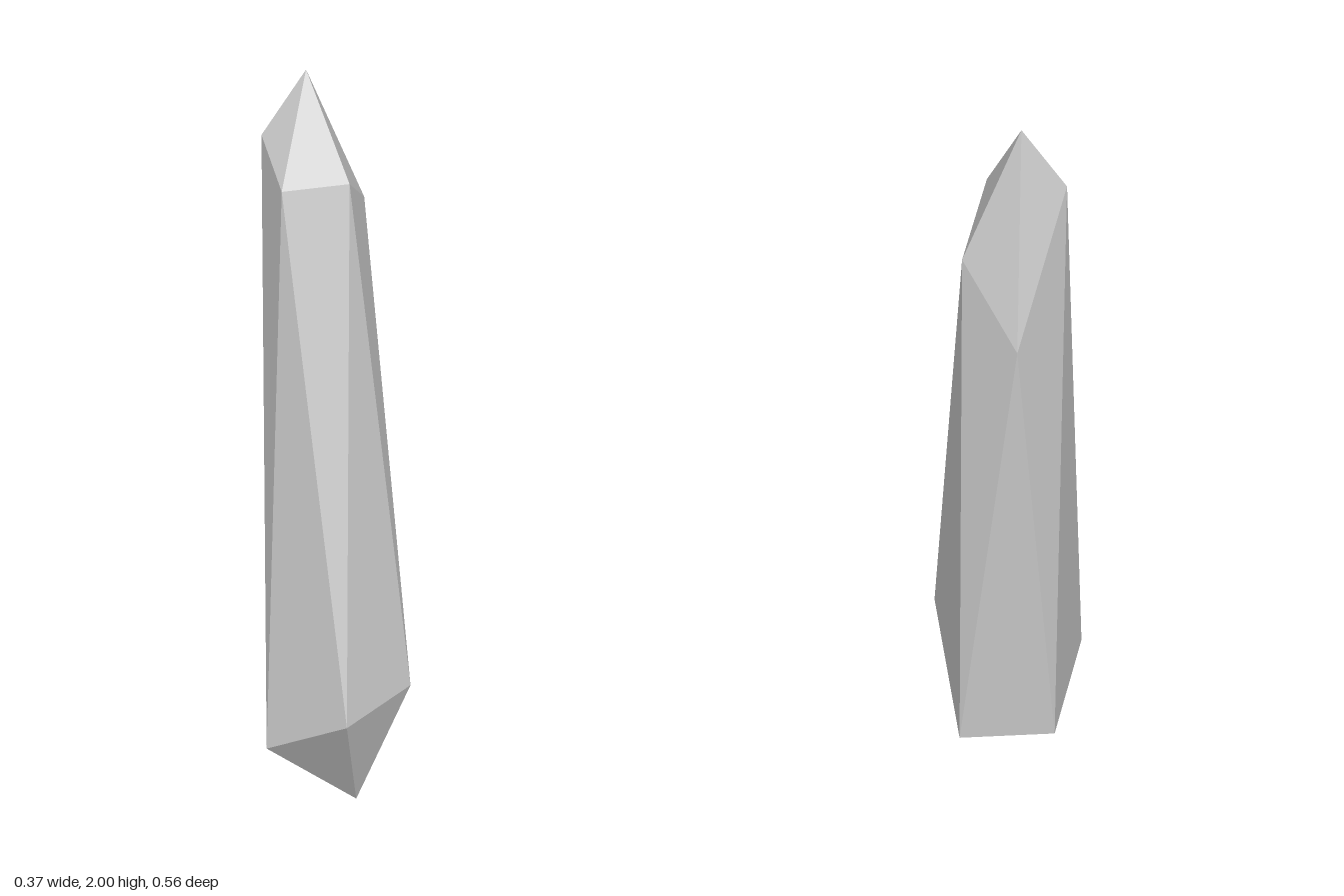
import * as THREE from 'three';

// Leaning five-sided crystal: two staggered rings closed by a point at each end
const TIP = [-0.02, 2, -0.19];
const BASE = [0.045, 0, 0.11];
const UPPER = [
  [0.06, 1.74, -0.04], [0.13, 1.6, -0.19], [-0.005, 1.37, -0.283],
  [-0.135, 1.82, -0.19], [-0.115, 1.74, -0.04],
];
const LOWER = [
  [-0.016, 0.325, 0.282], [0.185, 0.32, 0.11], [0.135, 0.085, -0.163],
  [-0.105, 0.09, -0.163], [-0.186, 0.18, 0.11],
];

function crystalGeometry() {
  const positions = [];
  const face = (a, b, c) => positions.push(...a, ...b, ...c);
  for (let i = 0; i < UPPER.length; i++) {
    const j = (i + 1) % UPPER.length;
    face(UPPER[i], UPPER[j], TIP);        // pointed top
    face(LOWER[i], LOWER[j], UPPER[i]);   // long shaft facets
    face(UPPER[i], LOWER[j], UPPER[j]);
    face(LOWER[j], LOWER[i], BASE);       // pointed bottom
  }
  const geometry = new THREE.BufferGeometry();
  geometry.setAttribute('position', new THREE.Float32BufferAttribute(positions, 3));
  geometry.computeVertexNormals();
  return geometry;
}

export function createModel() {
  const group = new THREE.Group();
  group.name = 'crystalShard';
  const material = new THREE.MeshStandardMaterial({ color: 0xcccccc, flatShading: true });
  const crystal = new THREE.Mesh(crystalGeometry(), material);
  crystal.name = 'crystal';
  group.add(crystal);
  return group;
}
